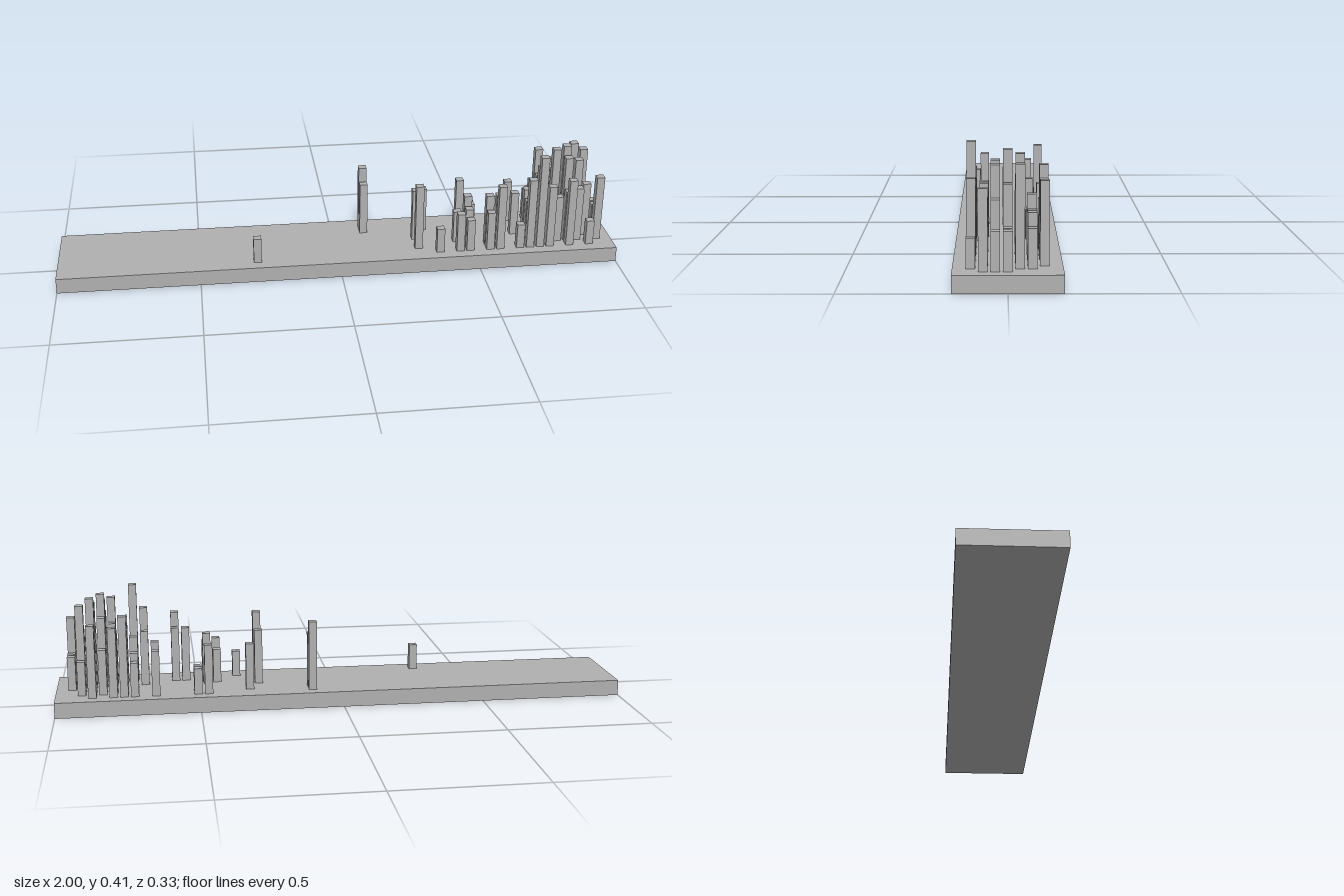
import * as THREE from 'three';

const PITCH = 0.0365, BASE_H = 0.055, COL_W = 0.028;

// Each row runs along x: [steps in from the +x end, top height]
const rows = {
  '3': [[34, .147], [16, .147], [14, .2], [13, .175], [11, .2], [10, .3], [8, .147], [7, .32],
    [6, .405], [5, .29], [3, .31], [1, .147]],
  '2': [[18, .3], [13, .2], [11, .25], [10, .25], [7, .22], [5, .2], [4, .23], [3, .25], [2, .26], [0, .3]],
  '1': [[14, .175], [13, .235], [7, .25], [5, .25], [3, .365], [2, .357], [1, .26], [0, .175]],
  '0': [[18, .25], [8, .22], [5, .25], [4, .385], [3, .397], [2, .3], [1, .175], [0, .175]],
  '-1': [[6, .25], [5, .3], [4, .3], [3, .32], [2, .39], [1, .365]],
  '-2': [[23, .25], [17, .22], [12, .147], [6, .2], [5, .25], [4, .2], [3, .215], [2, .215], [1, .175]],
  '-3': [[23, .3], [13, .23], [12, .147], [8, .215], [6, .175], [5, .34], [4, .3], [2, .31]],
};

export function createModel() {
  const model = new THREE.Group();
  const grey = new THREE.MeshStandardMaterial({ color: 0xb0b0b0 });
  grey.name = 'grey';

  const addBox = (parent, name, w, h, d, x, y, z) => {
    const mesh = new THREE.Mesh(new THREE.BoxGeometry(w, h, d), grey);
    mesh.name = name;
    mesh.position.set(x, y + h / 2, z);
    parent.add(mesh);
  };

  // Long flat slab
  addBox(model, 'baseSlab', 2, BASE_H, 0.328, 0, 0, 0);

  // Square columns standing on a regular grid
  const columns = new THREE.Group();
  columns.name = 'columns';
  for (const [row, list] of Object.entries(rows)) {
    for (const [step, top] of list) {
      addBox(columns, 'column', COL_W, top - BASE_H, COL_W,
        0.945 - step * PITCH, BASE_H, Number(row) * PITCH);
    }
  }
  model.add(columns);
  return model;
}
